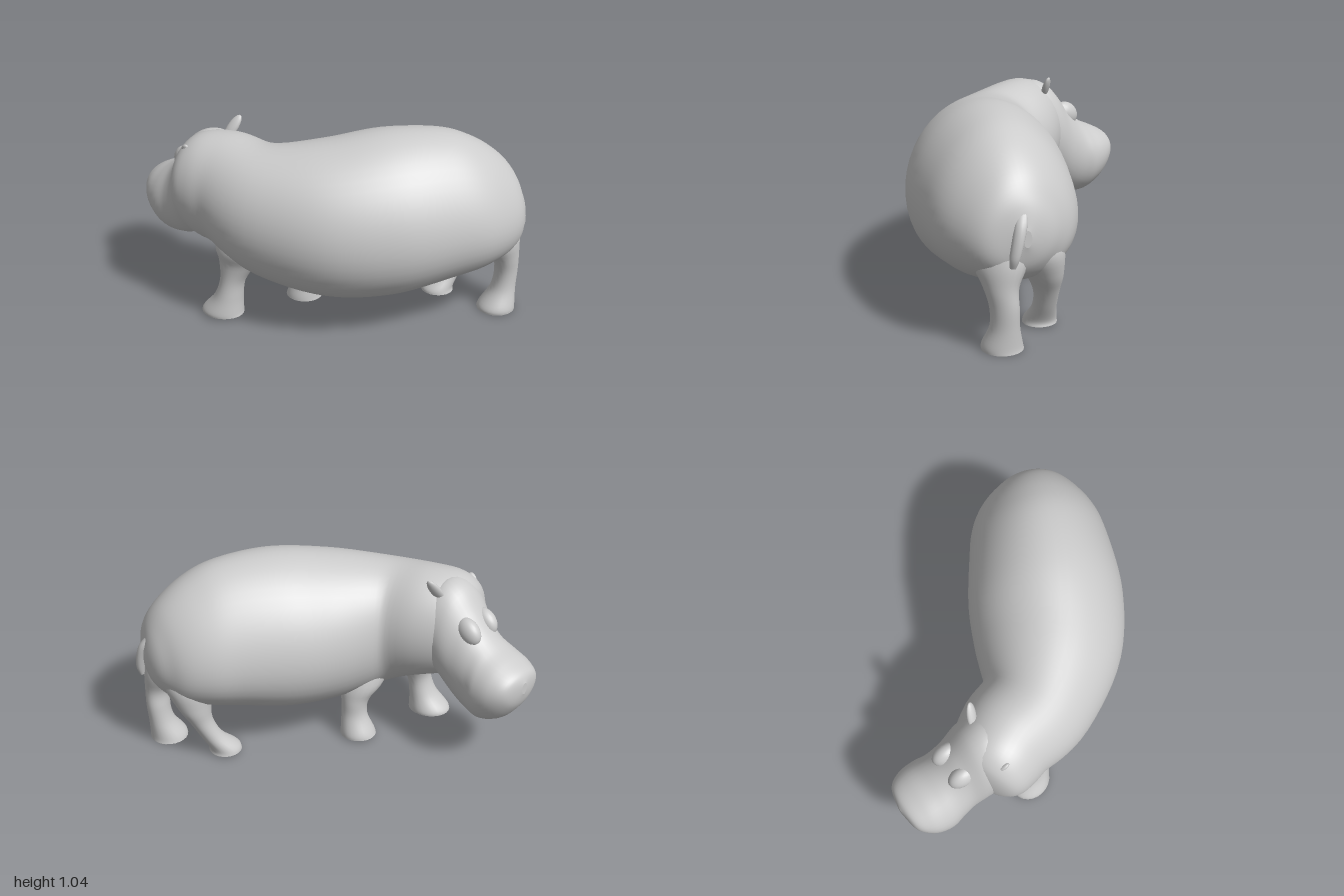
import * as THREE from 'three';

const skin = new THREE.MeshStandardMaterial({ color: 0xcccccc });

// Smoothly resample a table of rows, column by column (Catmull-Rom)
function resample(rows, steps) {
  const out = [];
  const n = rows.length - 1;
  for (let s = 0; s <= n * steps; s++) {
    const i = Math.min(Math.floor(s / steps), n - 1);
    const t = s / steps - i;
    const p = (k) => rows[Math.max(0, Math.min(n, k))];
    out.push(rows[0].map((_, c) => {
      const a = p(i - 1)[c], b = p(i)[c], d = p(i + 1)[c], e = p(i + 2)[c];
      return b + 0.5 * t * (d - a + t * (2 * a - 5 * b + 4 * d - e + t * (3 * (b - d) + e - a)));
    }));
  }
  return out;
}

// Skin a list of rings; both ends get flat caps with their own vertices
function skinRings(rings) {
  const pos = [], idx = [];
  const n = rings[0].length;
  rings.forEach((r) => r.forEach((v) => pos.push(v.x, v.y, v.z)));
  for (let i = 0; i < rings.length - 1; i++) {
    for (let j = 0; j < n; j++) {
      const k = (j + 1) % n;
      const a = i * n + j, b = i * n + k, c = a + n, d = b + n;
      idx.push(a, b, c, b, d, c);
    }
  }
  [rings[0], rings[rings.length - 1]].forEach((r, end) => {
    const base = pos.length / 3;
    const mid = r.reduce((s, v) => s.add(v), new THREE.Vector3()).divideScalar(n);
    [...r, mid].forEach((v) => pos.push(v.x, v.y, v.z));
    for (let j = 0; j < n; j++) {
      const k = (j + 1) % n;
      idx.push(base + n, base + (end ? j : k), base + (end ? k : j));
    }
  });
  const g = new THREE.BufferGeometry();
  g.setAttribute('position', new THREE.Float32BufferAttribute(pos, 3));
  g.setIndex(idx);
  g.computeVertexNormals();
  return g;
}

// Horizontal loft; rows are [x, z, yBottom, yTop, halfWidth, taper towards the top]
function loftAlong(rows, sides = 40) {
  const s = resample(rows, 6);
  return skinRings(s.map(([x, z, y0, y1, w, taper], i) => {
    const a = s[Math.max(0, i - 3)], b = s[Math.min(s.length - 1, i + 3)];
    const len = Math.hypot(b[0] - a[0], b[1] - a[1]);
    const tx = (b[0] - a[0]) / len, tz = (b[1] - a[1]) / len;
    return Array.from({ length: sides }, (_, j) => {
      const t = (j / sides) * Math.PI * 2;
      const up = Math.sin(t);
      const c = Math.cos(t) * w * (1 - taper * up);
      return new THREE.Vector3(x + tz * c, (y0 + y1) / 2 + up * (y1 - y0) / 2, z - tx * c);
    });
  }));
}

// Upright loft; rows are [x, y, z, radiusX, radiusZ] from the ground up
function loftUp(rows, sides = 24) {
  return skinRings(resample(rows, 5).map(([x, y, z, rx, rz]) =>
    Array.from({ length: sides }, (_, j) => {
      const t = (j / sides) * Math.PI * 2;
      return new THREE.Vector3(x + Math.sin(t) * rx, y, z + Math.cos(t) * rz);
    })));
}

export function createModel() {
  const model = new THREE.Group();
  model.name = 'hippopotamus';
  const add = (name, geometry) => {
    const mesh = new THREE.Mesh(geometry, skin);
    mesh.name = name;
    model.add(mesh);
    return mesh;
  };

  // Barrel body, from the sloping rump to the thick neck
  add('body', loftAlong([
    [0.905, -0.475, 0.52, 0.6, 0.02, 0],
    [0.88, -0.45, 0.41, 0.73, 0.15, 0.1],
    [0.83, -0.39, 0.33, 0.85, 0.25, 0.18],
    [0.73, -0.29, 0.28, 0.955, 0.33, 0.2],
    [0.6, -0.17, 0.24, 1.02, 0.37, 0.18],
    [0.38, 0.01, 0.18, 1.035, 0.405, 0.12],
    [0.13, 0.18, 0.18, 0.99, 0.38, 0.06],
    [-0.15, 0.285, 0.25, 0.95, 0.295, 0],
    [-0.38, 0.265, 0.35, 0.965, 0.262, 0],
    [-0.54, 0.285, 0.4, 0.945, 0.225, 0],
    [-0.63, 0.295, 0.49, 0.87, 0.165, 0],
    [-0.665, 0.295, 0.6, 0.74, 0.02, 0],
  ], 48));

  // Head turned to one side, narrow at the eyes, wide at the muzzle
  add('head', loftAlong([
    [-0.42, 0.27, 0.55, 0.9, 0.1, 0],
    [-0.5, 0.23, 0.45, 0.95, 0.19, 0],
    [-0.58, 0.185, 0.37, 0.92, 0.19, 0],
    [-0.66, 0.145, 0.3, 0.82, 0.175, 0.05],
    [-0.73, 0.115, 0.27, 0.735, 0.18, 0.05],
    [-0.8, 0.085, 0.268, 0.68, 0.195, 0],
    [-0.88, 0.045, 0.315, 0.64, 0.18, -0.08],
    [-0.945, 0.015, 0.41, 0.6, 0.125, -0.1],
    [-0.968, 0.005, 0.49, 0.555, 0.02, 0],
  ]));

  // Front and hind legs with flared feet, widening into shoulder and thigh
  const legs = {
    frontLeftLeg: [
      [-0.365, 0.015, 0.4, 0.115, 0.1], [-0.36, 0.04, 0.4, 0.108, 0.1],
      [-0.325, 0.12, 0.4, 0.075, 0.08], [-0.3, 0.22, 0.395, 0.067, 0.07],
      [-0.275, 0.32, 0.375, 0.105, 0.09], [-0.25, 0.42, 0.35, 0.155, 0.13], [-0.2, 0.6, 0.28, 0.14, 0.13],
    ],
    frontRightLeg: [
      [-0.075, 0.01, 0.04, 0.097, 0.093], [-0.07, 0.04, 0.04, 0.09, 0.09],
      [-0.05, 0.13, 0.045, 0.07, 0.066], [-0.05, 0.22, 0.06, 0.077, 0.075],
      [-0.06, 0.32, 0.12, 0.13, 0.12], [-0.07, 0.5, 0.22, 0.15, 0.15],
    ],
    hindRightLeg: [
      [0.535, 0.01, -0.35, 0.087, 0.085], [0.54, 0.04, -0.355, 0.08, 0.08],
      [0.585, 0.12, -0.4, 0.06, 0.06], [0.625, 0.22, -0.43, 0.06, 0.065],
      [0.66, 0.32, -0.435, 0.09, 0.095], [0.7, 0.46, -0.4, 0.14, 0.14], [0.72, 0.6, -0.34, 0.12, 0.12],
    ],
    hindLeftLeg: [
      [0.88, 0, -0.33, 0.1, 0.1], [0.885, 0.03, -0.33, 0.095, 0.097],
      [0.905, 0.12, -0.355, 0.066, 0.073], [0.915, 0.22, -0.36, 0.06, 0.073],
      [0.913, 0.32, -0.34, 0.068, 0.09], [0.87, 0.44, -0.31, 0.11, 0.145], [0.81, 0.6, -0.29, 0.13, 0.15],
    ],
  };
  for (const [name, rows] of Object.entries(legs)) add(name, loftUp(rows));

  // Short flat tail lying against the rump
  add('tail', loftUp([
    [0.955, 0.43, -0.425, 0.01, 0.015], [0.955, 0.48, -0.435, 0.02, 0.026],
    [0.94, 0.56, -0.445, 0.024, 0.03], [0.915, 0.63, -0.445, 0.025, 0.03], [0.88, 0.69, -0.43, 0.015, 0.025],
  ], 14));

  // Low brows over the eyes
  const brow = (name, x, z) => {
    const m = add(name, new THREE.SphereGeometry(1, 20, 14));
    m.position.set(x, 0.745, z);
    m.scale.set(0.08, 0.065, 0.05);
    m.rotation.set(0, -0.46, 0.6);
  };
  brow('rightBrow', -0.645, 0.075);
  brow('leftBrow', -0.695, 0.205);

  // Small ears behind the eyes, the left one folded against the neck
  const ear = (name, base, tip, width) => {
    const a = new THREE.Vector3(...base), dir = new THREE.Vector3(...tip).sub(a);
    const g = new THREE.SphereGeometry(1, 14, 12);
    g.scale(width, dir.length() / 2, width * 0.6);
    const m = add(name, g);
    m.position.copy(a).addScaledVector(dir, 0.5);
    m.quaternion.setFromUnitVectors(new THREE.Vector3(0, 1, 0), dir.normalize());
  };
  ear('rightEar', [-0.49, 0.86, 0.14], [-0.425, 0.99, 0.075], 0.03);
  ear('leftEar', [-0.59, 0.83, 0.34], [-0.56, 0.91, 0.385], 0.028);

  return model;
}
